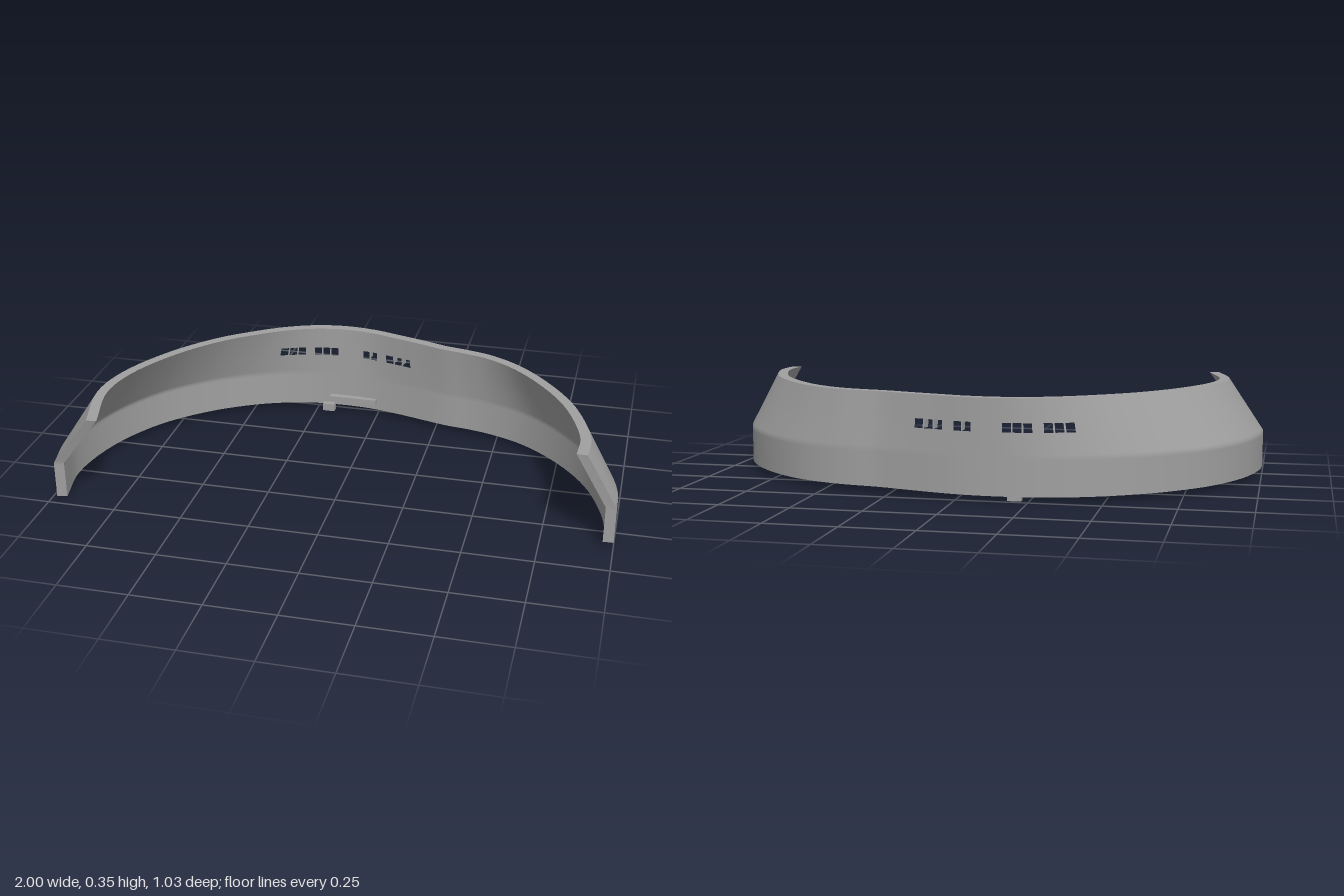
import * as THREE from 'three';
import { toCreasedNormals } from 'three/addons/utils/BufferGeometryUtils.js';

const THICK = 0.037, BEND = 0.155, TOP = 0.353;

// Outer plan outline [x, z] of the upright lower band, from the right end round the back to the left end
const lower = [[-0.97, 0.487], [-1, 0.3], [-0.955, 0.06], [-0.84, -0.16], [-0.69, -0.315], [-0.55, -0.41],
  [-0.42, -0.47], [-0.28, -0.507], [-0.145, -0.516], [-0.02, -0.508], [0.09, -0.485], [0.2, -0.455],
  [0.3, -0.428], [0.4, -0.412], [0.5, -0.385], [0.63, -0.325], [0.78, -0.2], [0.9, -0.04],
  [0.97, 0.13], [0.997, 0.25], [1, 0.353]];
// Matching outline of the top rim, which leans inward at the sides
const upper = [[-0.82, 0.513], [-0.872, 0.28], [-0.845, 0.1], [-0.735, -0.12], [-0.6, -0.285], [-0.48, -0.383],
  [-0.385, -0.445], [-0.27, -0.495], [-0.145, -0.516], [-0.02, -0.505], [0.085, -0.475], [0.19, -0.443],
  [0.28, -0.412], [0.37, -0.392], [0.46, -0.365], [0.57, -0.3], [0.69, -0.18], [0.8, -0.02],
  [0.865, 0.14], [0.893, 0.26], [0.89, 0.371]];
const curve = (pts) => new THREE.CatmullRomCurve3(pts.map(([x, z]) => new THREE.Vector3(x, 0, z)));
const lowCurve = curve(lower), topCurve = curve(upper);

// Point on the outer (depth 0) or inner (depth THICK) wall
function wallPoint(u, y, depth) {
  const lean = THREE.MathUtils.clamp((y - BEND) / (TOP - BEND), 0, 1);
  const p = lowCurve.getPoint(u).lerp(topCurve.getPoint(u), lean);
  const t = lowCurve.getTangent(u).lerp(topCurve.getTangent(u), lean).normalize();
  return new THREE.Vector3(p.x - t.z * depth, y, p.z + t.x * depth);
}

// Path parameter at which the back of the wall reaches a given x
function paramAtX(x) {
  let a = 0.1, b = 0.9;
  for (let i = 0; i < 30; i++) {
    const m = (a + b) / 2;
    if (wallPoint(m, 0.255, 0).x < x) a = m; else b = m;
  }
  return a;
}

function bandGeometry() {
  // Vent slots: start x, end x, number of openings
  const slots = [];
  for (const [x0, x1, n] of [[-0.405, -0.3, 3], [-0.268, -0.163, 3], [-0.06, 0.007, 2], [0.043, 0.152, 3]]) {
    const step = (x1 - x0) / n;
    for (let i = 0; i < n; i++) {
      slots.push([paramAtX(x0 + i * step + 0.003), paramAtX(x0 + (i + 1) * step - 0.003)]);
    }
  }
  const us = slots.flat();
  for (let i = 0; i <= 100; i++) {
    const u = i / 100;
    if (!slots.some(([a, b]) => u > a - 0.001 && u < b + 0.001)) us.push(u);
  }
  us.sort((a, b) => a - b);
  const ys = [0.021, 0.13, 0.145, BEND, 0.165, 0.18, 0.238, 0.27, TOP];
  const slotRow = 6, rows = ys.length - 1, cols = us.length - 1;
  const outer = us.map((u) => ys.map((y) => wallPoint(u, y, 0)));
  const inner = us.map((u) => ys.map((y) => wallPoint(u, y, THICK)));

  const pos = [];
  const quad = (a, b, c, d) => [a, b, c, a, c, d].forEach((p) => pos.push(p.x, p.y, p.z));
  for (let i = 0; i < cols; i++) {
    const mid = (us[i] + us[i + 1]) / 2;
    const open = slots.some(([a, b]) => mid > a && mid < b);
    const o = outer[i], p = outer[i + 1], n = inner[i], m = inner[i + 1];
    for (let j = 0; j < rows; j++) {
      if (open && j === slotRow) {
        // Four sides of the opening
        quad(o[j], p[j], m[j], n[j]);
        quad(o[j + 1], n[j + 1], m[j + 1], p[j + 1]);
        quad(o[j], n[j], n[j + 1], o[j + 1]);
        quad(p[j], p[j + 1], m[j + 1], m[j]);
        continue;
      }
      quad(o[j], o[j + 1], p[j + 1], p[j]);
      quad(n[j], m[j], m[j + 1], n[j + 1]);
    }
    // Top rim and bottom edge
    quad(o[rows], n[rows], m[rows], p[rows]);
    quad(o[0], p[0], m[0], n[0]);
  }
  // End faces
  for (let j = 0; j < rows; j++) {
    quad(outer[0][j], inner[0][j], inner[0][j + 1], outer[0][j + 1]);
    quad(outer[cols][j], outer[cols][j + 1], inner[cols][j + 1], inner[cols][j]);
  }
  const geo = new THREE.BufferGeometry();
  geo.setAttribute('position', new THREE.Float32BufferAttribute(pos, 3));
  return toCreasedNormals(geo, 0.75);
}

export function createModel() {
  const group = new THREE.Group();
  const grey = new THREE.MeshStandardMaterial({ color: 0xa0a0a0 });
  grey.name = 'grey';
  const add = (name, geo, x = 0, y = 0, z = 0) => {
    const mesh = new THREE.Mesh(geo, grey);
    mesh.name = name;
    mesh.position.set(x, y, z);
    group.add(mesh);
  };
  add('curvedBand', bandGeometry());
  // Small ledge inside the back wall and the locating peg under it
  add('innerLedge', new THREE.BoxGeometry(0.19, 0.022, 0.045), -0.1, 0.055, -0.477);
  add('locatingPeg', new THREE.BoxGeometry(0.048, 0.03, 0.028), -0.2, 0.015, -0.468);
  return group;
}
